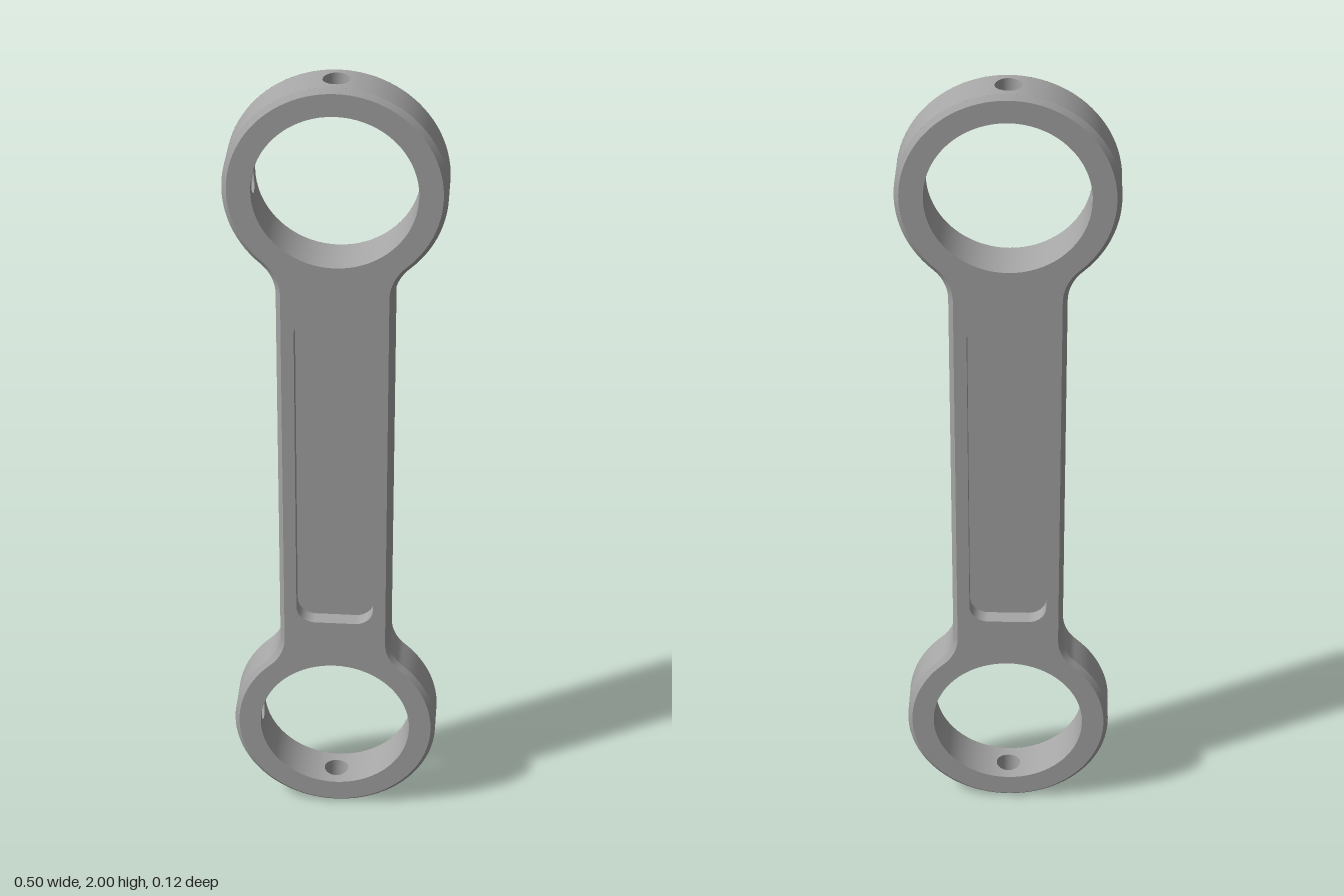
import * as THREE from 'three';

const R = 0.252, BORE = 0.187, CY = 0.748;   // ring radii and centre offset
const W = 0.135, FILLET = 0.1;               // shank half width, neck fillet
const H = 0.0565, C = 0.011, WEB = 0.019;    // half thickness, chamfer, half web
const HOLE = 0.03, PATCH = 0.042;            // cross hole radius, patch half width
const PI = Math.PI;
const FX = W + FILLET, FDY = Math.sqrt((R + FILLET) ** 2 - FX ** 2);
const FY = CY - FDY, PHI = Math.atan2(FDY, FX);

const steel = new THREE.MeshStandardMaterial({ color: 0xa6a6a6, side: THREE.DoubleSide });
steel.name = 'grey metal';

// Surface from a function of (u, v) in 0..1
function grid(fn, nu, nv) {
  const pos = [], index = [];
  for (let j = 0; j <= nv; j++)
    for (let i = 0; i <= nu; i++) pos.push(...fn(i / nu, j / nv));
  for (let j = 0; j < nv; j++)
    for (let i = 0; i < nu; i++) {
      const a = j * (nu + 1) + i, b = a + nu + 1;
      index.push(a, a + 1, b + 1, a, b + 1, b);
    }
  const g = new THREE.BufferGeometry();
  g.setAttribute('position', new THREE.Float32BufferAttribute(pos, 3));
  g.setIndex(index);
  g.computeVertexNormals();
  return g;
}

function add(parent, name, geometry) {
  const mesh = new THREE.Mesh(geometry, steel);
  mesh.name = name;
  parent.add(mesh);
}

function arc(cx, cy, r, a0, a1, n) {
  return Array.from({ length: n + 1 }, (_, i) => {
    const a = a0 + (a1 - a0) * i / n;
    return new THREE.Vector2(cx + r * Math.cos(a), cy + r * Math.sin(a));
  });
}

// Outer silhouette, counter-clockwise, inset by d
function outline(d) {
  const r = R - d, f = FILLET + d;
  return [
    ...arc(0, CY, r, -PHI, PI + PHI, 72),
    ...arc(-FX, FY, f, PHI, 0, 10),
    ...arc(-FX, -FY, f, 0, -PHI, 10),
    ...arc(0, -CY, r, PI - PHI, 2 * PI + PHI, 72),
    ...arc(FX, -FY, f, PI + PHI, PI, 10),
    ...arc(FX, FY, f, PI, PI - PHI, 10),
  ];
}

// Rounded pocket outline
function pocketOutline() {
  const x = 0.094, y = 0.43, r = 0.045, pts = [];
  [[1, 1], [-1, 1], [-1, -1], [1, -1]].forEach(([sx, sy], k) =>
    pts.push(...arc(sx * (x - r), sy * (y - r), r, k * PI / 2, (k + 1) * PI / 2, 8)));
  return pts;
}

// Strip of wall standing on part of a circle
function arcWall(cy, r, a0, a1, z, inward, cx = 0) {
  const s = inward ? -1 : 1;
  return grid((u, v) => {
    const a = a0 + (a1 - a0) * u;
    return [cx + r * Math.cos(a), cy + r * Math.sin(a), s * z * (2 * v - 1)];
  }, Math.max(4, Math.ceil(Math.abs(a1 - a0) / 0.07)), 1);
}

// Point on a ring wall: tangential offset s from direction a
function onRing(cy, r, a, s, z) {
  const d = Math.sqrt(r * r - s * s);
  return [d * Math.cos(a) - s * Math.sin(a), cy + d * Math.sin(a) + s * Math.cos(a), z];
}

// Piece of ring wall with a round hole in it
function holedPatch(cy, r, a, z, inward) {
  return grid((u, v) => {
    const t = inward ? 1 - v : v;
    const c = Math.cos(u * 2 * PI), s = Math.sin(u * 2 * PI);
    const q = 1 / Math.max(Math.abs(c), Math.abs(s));
    return onRing(cy, r, a,
      THREE.MathUtils.lerp(PATCH * c * q, HOLE * c, t),
      THREE.MathUtils.lerp(z * s * q, HOLE * s, t));
  }, 48, 4);
}

// One face: cap with openings, chamfer and recessed pocket
function makeFace() {
  const face = new THREE.Group();
  const rim = outline(0), inner = outline(C), pocket = pocketOutline();
  const cap = new THREE.Shape(inner);
  for (const cy of [CY, -CY]) cap.holes.push(new THREE.Path(arc(0, cy, BORE, 0, 2 * PI, 72).slice(0, -1)));
  cap.holes.push(new THREE.Path(pocket));
  add(face, 'flatFace', new THREE.ShapeGeometry(cap).translate(0, 0, H));
  add(face, 'pocketFloor', new THREE.ShapeGeometry(new THREE.Shape(pocket)).translate(0, 0, WEB));
  const n = rim.length, m = pocket.length;
  add(face, 'edgeChamfer', grid((u, v) => {
    const p = (v ? inner : rim)[Math.round(u * n) % n];
    return [p.x, p.y, v ? H : H - C];
  }, n, 1));
  add(face, 'pocketWall', grid((u, v) => {
    const p = pocket[Math.round(u * m) % m];
    return [p.x, p.y, v ? WEB : H];
  }, m, 1));
  return face;
}

// Ring end with two cross holes; dirs are the hole directions
function makeRing(cy, start, end, dirs) {
  const ring = new THREE.Group();
  const z = H - C;
  const a = Math.asin(PATCH / R), b = Math.asin(PATCH / BORE);
  const [d0, d1] = dirs;
  add(ring, 'outerWall', arcWall(cy, R, start, d0 - a, z, false));
  add(ring, 'outerWall', arcWall(cy, R, d0 + a, d1 - a, z, false));
  add(ring, 'outerWall', arcWall(cy, R, d1 + a, end, z, false));
  add(ring, 'boreWall', arcWall(cy, BORE, d0 + b, d1 - b, H, true));
  add(ring, 'boreWall', arcWall(cy, BORE, d1 + b, d0 + 2 * PI - b, H, true));
  for (const d of dirs) {
    add(ring, 'outerHolePatch', holedPatch(cy, R, d, z, false));
    add(ring, 'boreHolePatch', holedPatch(cy, BORE, d, H, true));
    add(ring, 'crossHole', grid((u, v) => onRing(cy, v ? BORE : R, d,
      HOLE * Math.cos(u * 2 * PI), HOLE * Math.sin(u * 2 * PI)), 48, 1));
  }
  return ring;
}

export function createModel() {
  const model = new THREE.Group();
  model.name = 'connectingLink';
  const link = new THREE.Group();
  link.name = 'link';
  link.position.y = 1;
  link.rotation.y = -0.0115;
  model.add(link);

  const front = makeFace(), back = makeFace();
  front.name = 'frontFace';
  back.name = 'backFace';
  back.rotation.y = PI;
  const upper = makeRing(CY, -PHI, PI + PHI, [PI / 2, PI]);
  const lower = makeRing(-CY, PI - PHI, 2 * PI + PHI, [PI, 1.5 * PI]);
  upper.name = 'upperRing';
  lower.name = 'lowerRing';
  link.add(front, back, upper, lower);

  // Shank sides and neck fillets
  const z = H - C;
  for (const s of [-1, 1]) {
    add(link, 'shankSide', grid((u, v) => [s * W, s * FY * (2 * u - 1), z * (2 * v - 1)], 1, 1));
    const base = s < 0 ? 0 : PI;
    add(link, 'neckFillet', arcWall(-s * FY, FILLET, base + PHI, base, z, false, s * FX));
    add(link, 'neckFillet', arcWall(s * FY, FILLET, base, base - PHI, z, false, s * FX));
  }
  return model;
}
